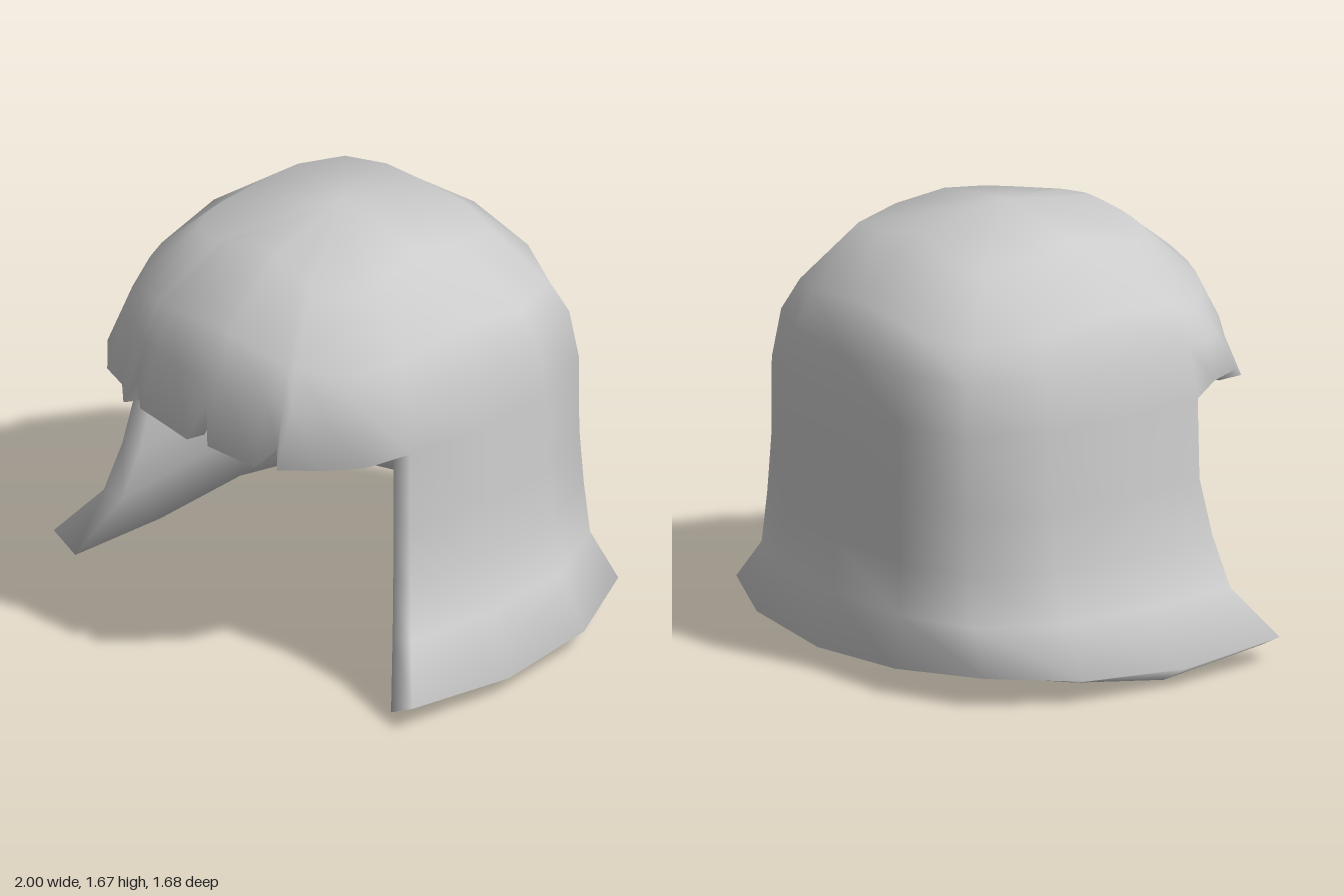
import * as THREE from 'three';
import { mergeVertices } from 'three/addons/utils/BufferGeometryUtils.js';

// Half outlines from the middle of the back to the front edge of the side hair
const RING = [[0, -0.75], [0.36, -0.72], [0.62, -0.6], [0.75, -0.31], [0.775, 0.03], [0.73, 0.38]];
const HEM = [[0, -0.84], [0.44, -0.8], [0.79, -0.64], [0.96, -0.3], [1, 0.13], [0.96, 0.59]];
const HEM_OUTER_Y = [0.08, 0.1, 0.12, 0.09, 0.07, 0.1];
const HEM_INNER_Y = [0.04, 0.07, 0.09, 0.05, 0, 0.04];
// How early each column starts to flare towards the hem
const FLARE = [0.4, 0.5, 0.75, 1, 1, 1.05];

// Lower edge of the fringe: x, z, y, with notches between the locks
const FRINGE = [
  [-0.7, 0.48, 1.04], [-0.63, 0.63, 1.04], [-0.55, 0.71, 0.98], [-0.45, 0.73, 0.96],
  [-0.36, 0.81, 0.95], [-0.33, 0.77, 1.05], [-0.27, 0.81, 0.96], [-0.12, 0.82, 0.95],
  [0.01, 0.84, 0.95], [0.06, 0.79, 1.1], [0.1, 0.82, 0.95], [0.34, 0.81, 0.95],
  [0.41, 0.76, 1.04], [0.44, 0.79, 0.97], [0.55, 0.66, 0.96], [0.66, 0.54, 0.97],
];
const BROW = [[0, 0.8], [0.22, 0.79], [0.42, 0.74], [0.6, 0.62], [0.7, 0.48], [0.73, 0.38]];

// Crown rows: height, scale of the ring, widening and drop at the diagonals,
// scale and drop of the inner wall
const CROWN = [
  [1.67, 0, 0, 0, 1, 0.08],
  [1.61, 0.51, 0.12, 0.06, 0.94, 0.075],
  [1.4, 0.88, 0, 0.08, 0.91, 0.055],
  [1.2, 0.96, 0, 0, 0.89, 0.025],
];
// Curtain rows: height, blend from ring to hem
const CURTAIN = [[1.01, 0], [0.7, 0.02], [0.48, 0.17], [0.28, 0.38]];
const WALL = 0.88;

function browZ(x) {
  const ax = Math.abs(x);
  const i = Math.max(1, BROW.findIndex((p) => p[0] >= ax));
  const [x0, z0] = BROW[i - 1], [x1, z1] = BROW[i];
  return THREE.MathUtils.mapLinear(ax, x0, x1, z0, z1);
}

// Upper part of a strand column, from the crown down to the brow
function crownColumn(x, z) {
  const col = { out: [], inn: [] };
  const diagonal = Math.sin(2 * Math.atan2(x, z - 0.03)) ** 2;
  for (const [height, scale, widen, drop, k, depth] of CROWN) {
    const s = scale + widen * diagonal, y = height - drop * diagonal;
    const px = x * s, dz = (z - 0.03) * s;
    col.out.push([px, y, 0.03 + dz]);
    col.inn.push([px * k, y - depth, 0.03 + dz * k]);
  }
  return col;
}

// Column of the long hair at the sides and back
function curtainColumn(i, side) {
  const [rx, rz] = RING[i], [hx, hz] = HEM[i];
  const col = crownColumn(rx * side, rz);
  const add = (x, y, z, yIn) => {
    col.out.push([x * side, y, z]);
    col.inn.push([x * side * WALL, yIn, i === 5 ? z : z * WALL]);
  };
  for (const [y, blend] of CURTAIN) {
    const t = blend * FLARE[i];
    add(rx + (hx - rx) * t, y, rz + (hz - rz) * t, y);
  }
  add(hx, HEM_OUTER_Y[i], hz, HEM_INNER_Y[i]);
  return col;
}

// Short column ending at the fringe, its tip curling inwards
function fringeColumn([x, z, y]) {
  const col = crownColumn(x, browZ(x));
  col.out.push([x, y + 0.015, z]);
  col.inn.push([x * 0.94, y, z * 0.89]);
  return col;
}

function hairGeometry() {
  const cols = [];
  for (let i = 5; i >= 0; i--) cols.push(curtainColumn(i, 1));
  for (let i = 1; i <= 5; i++) cols.push(curtainColumn(i, -1));
  FRINGE.forEach((f) => cols.push(fringeColumn(f)));

  const pos = [];
  const same = (p, q) => Math.hypot(p[0] - q[0], p[1] - q[1], p[2] - q[2]) < 1e-6;
  const tri = (a, b, c) => {
    if (!same(a, b) && !same(b, c) && !same(a, c)) pos.push(...a, ...b, ...c);
  };
  const quad = (a, b, c, d) => { tri(a, b, c); tri(a, c, d); };

  cols.forEach((L, i) => {
    const R = cols[(i + 1) % cols.length];
    const n = Math.min(L.out.length, R.out.length);
    // outer and inner walls
    for (let r = 0; r < n - 1; r++) {
      quad(L.out[r], L.out[r + 1], R.out[r + 1], R.out[r]);
      quad(R.inn[r], R.inn[r + 1], L.inn[r + 1], L.inn[r]);
    }
    // lower rim
    quad(R.out[n - 1], L.out[n - 1], L.inn[n - 1], R.inn[n - 1]);
  });

  // front rims of the two side curtains
  const A = cols[0], B = cols[10];
  for (let r = CROWN.length; r < A.out.length - 1; r++) {
    quad(A.out[r + 1], A.out[r], A.inn[r], A.inn[r + 1]);
    quad(B.out[r], B.out[r + 1], B.inn[r + 1], B.inn[r]);
  }

  const geo = new THREE.BufferGeometry();
  geo.setAttribute('position', new THREE.Float32BufferAttribute(pos, 3));
  const smooth = mergeVertices(geo, 1e-4);
  smooth.computeVertexNormals();
  return smooth;
}

export function createModel() {
  const group = new THREE.Group();
  group.name = 'hairpiece';
  const hair = new THREE.Mesh(
    hairGeometry(),
    new THREE.MeshStandardMaterial({ color: 0xcccccc }),
  );
  hair.name = 'hairShell';
  group.add(hair);
  return group;
}
